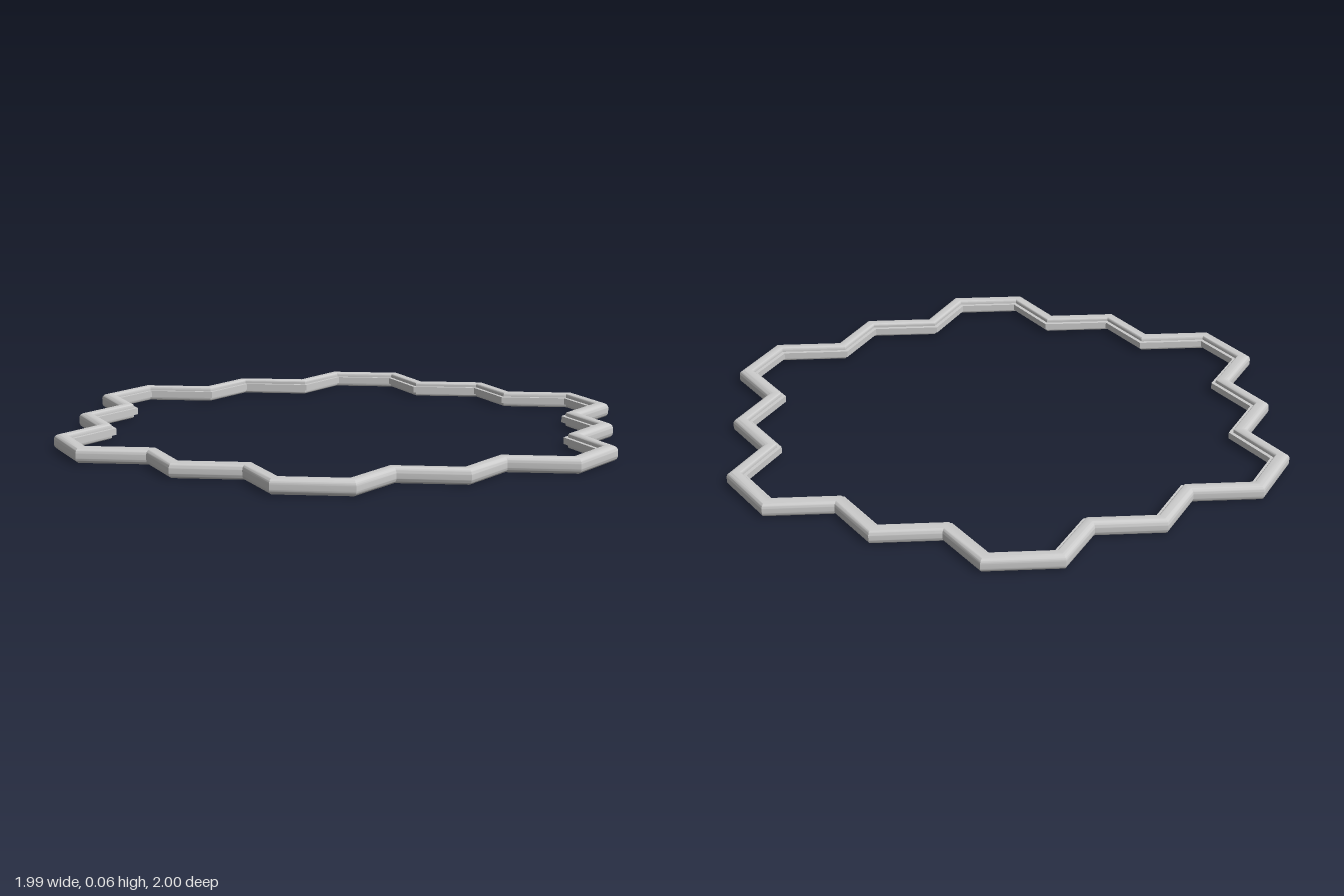
import * as THREE from 'three';
import { toCreasedNormals } from 'three/addons/utils/BufferGeometryUtils.js';

// Closed zigzag centre line in plan: outline of a cluster of hexagonal cells
function outlinePoints() {
  const a = 0.247, d = 0.115, h = 0.194; // flat edge, slant run, slant rise
  const xMax = 2.5 * a + 3 * d;
  const quarter = [
    [xMax, 0], [xMax - d, h], [xMax, 2 * h], [xMax - d, 3 * h],
    [1.5 * a + 2 * d, 3 * h], [1.5 * a + d, 4 * h], [0.5 * a + d, 4 * h], [0.5 * a, 5 * h],
  ];
  const half = [...quarter, ...quarter.map(([x, z]) => [-x, z]).reverse()];
  const other = half.slice(1, -1).map(([x, z]) => [x, -z]).reverse();
  return [...half, ...other].map(([x, z]) => new THREE.Vector2(x, z));
}

// Moulding section (outward, height): rounded body with a thin tongue on the inside
function sectionPoints() {
  const bottom = 0.002, top = 0.058, inner = -0.016, outer = 0.03, r = 0.02, ri = 0.008;
  const tongue = -0.03, t0 = 0.018, t1 = 0.042;
  const s = new THREE.Shape();
  s.moveTo(inner + ri, bottom);
  s.lineTo(outer - r, bottom);
  s.absarc(outer - r, bottom + r, r, -Math.PI / 2, 0);
  s.lineTo(outer, top - r);
  s.absarc(outer - r, top - r, r, 0, Math.PI / 2);
  s.lineTo(inner + ri, top);
  s.absarc(inner + ri, top - ri, ri, Math.PI / 2, Math.PI);
  s.lineTo(inner, t1);
  s.lineTo(tongue, t1);
  s.lineTo(tongue, t0);
  s.lineTo(inner, t0);
  s.absarc(inner + ri, bottom + ri, ri, Math.PI, Math.PI * 1.5);
  return s.getPoints(6).filter((p, i, all) => i === 0 || p.distanceTo(all[i - 1]) > 1e-5);
}

// Sweep the section round the path with mitred corners
function mitredSweep(path, section) {
  const n = path.length;
  const normal = (p, q) => {
    const t = q.clone().sub(p).normalize();
    return new THREE.Vector2(t.y, -t.x);
  };
  const rings = path.map((p, i) => {
    const n0 = normal(path[(i + n - 1) % n], p);
    const n1 = normal(p, path[(i + 1) % n]);
    const miter = n0.clone().add(n1).divideScalar(1 + n0.dot(n1));
    return section.map((s) => [p.x + miter.x * s.x, s.y, p.y + miter.y * s.x]);
  });
  const positions = [];
  for (let i = 0; i < n; i++) {
    const A = rings[i], B = rings[(i + 1) % n];
    for (let k = 0; k < section.length; k++) {
      const m = (k + 1) % section.length;
      positions.push(...A[k], ...A[m], ...B[m], ...A[k], ...B[m], ...B[k]);
    }
  }
  const geometry = new THREE.BufferGeometry();
  geometry.setAttribute('position', new THREE.Float32BufferAttribute(positions, 3));
  return toCreasedNormals(geometry, Math.PI / 6);
}

export function createModel() {
  const group = new THREE.Group();
  group.name = 'honeycombFrame';
  const rim = new THREE.Mesh(
    mitredSweep(outlinePoints(), sectionPoints()),
    new THREE.MeshStandardMaterial({ color: 0xcccccc })
  );
  rim.name = 'zigzagRim';
  rim.position.y = -0.002; // rest on the ground
  group.add(rim);
  return group;
}
